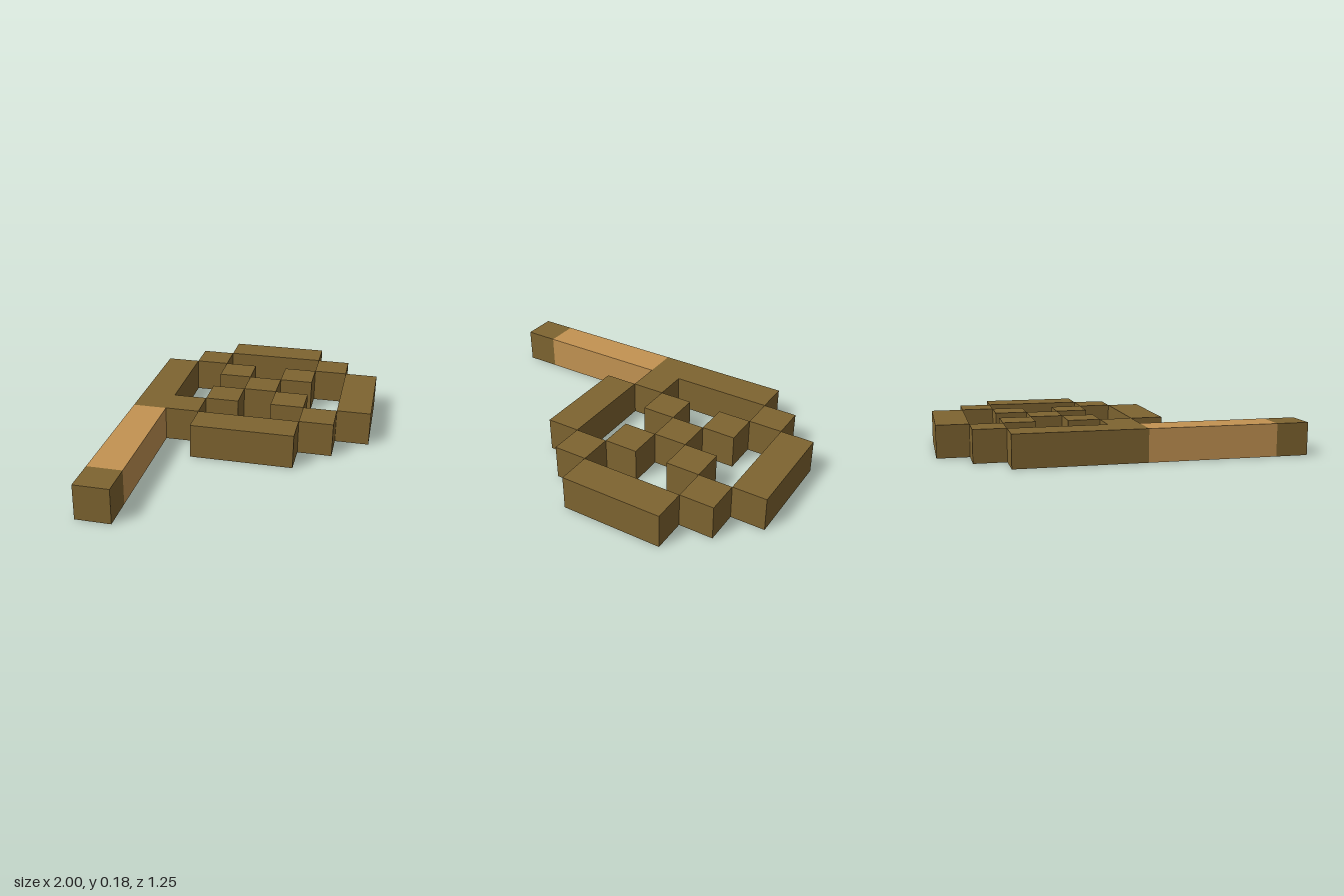
import * as THREE from 'three';

export function createModel() {
  const group = new THREE.Group();
  const darkWood = new THREE.MeshStandardMaterial({ color: 0x7e6430 });
  const lightWood = new THREE.MeshStandardMaterial({ color: 0xc39352 });
  darkWood.name = 'darkWood';
  lightWood.name = 'lightWood';

  const side = 0.125 * Math.SQRT2; // edge of one diagonal block
  const height = 0.178;

  // Bar of square blocks running diagonally from one block centre to another
  function bar(name, material, x0, z0, x1 = x0, z1 = z0) {
    const length = Math.hypot(x1 - x0, z1 - z0) + side;
    const mesh = new THREE.Mesh(new THREE.BoxGeometry(length, height, side), material);
    mesh.name = name;
    mesh.position.set((x0 + x1) / 2, height / 2, (z0 + z1) / 2);
    mesh.rotation.y = z1 > z0 ? -Math.PI / 4 : Math.PI / 4;
    group.add(mesh);
  }

  // Handle with its end cap
  bar('handleCap', darkWood, -0.875, 0.5);
  bar('handle', lightWood, -0.75, 0.375, -0.375, 0);

  // Four sides of the frame
  bar('frameBackLeft', darkWood, -0.25, -0.125, 0.125, -0.5);
  bar('frameBackRight', darkWood, 0.625, -0.5, 0.875, -0.25);
  bar('frameFrontLeft', darkWood, -0.125, 0.25, 0.125, 0.5);
  bar('frameFrontRight', darkWood, 0.625, 0.5, 0.875, 0.25);

  // Crossed rows of single blocks, touching corner to corner
  for (let i = -2; i <= 2; i++) {
    bar('latticeBlock', darkWood, 0.375 + i * 0.25, 0);
    if (i !== 0) bar('latticeBlock', darkWood, 0.375, i * 0.25);
  }
  return group;
}
